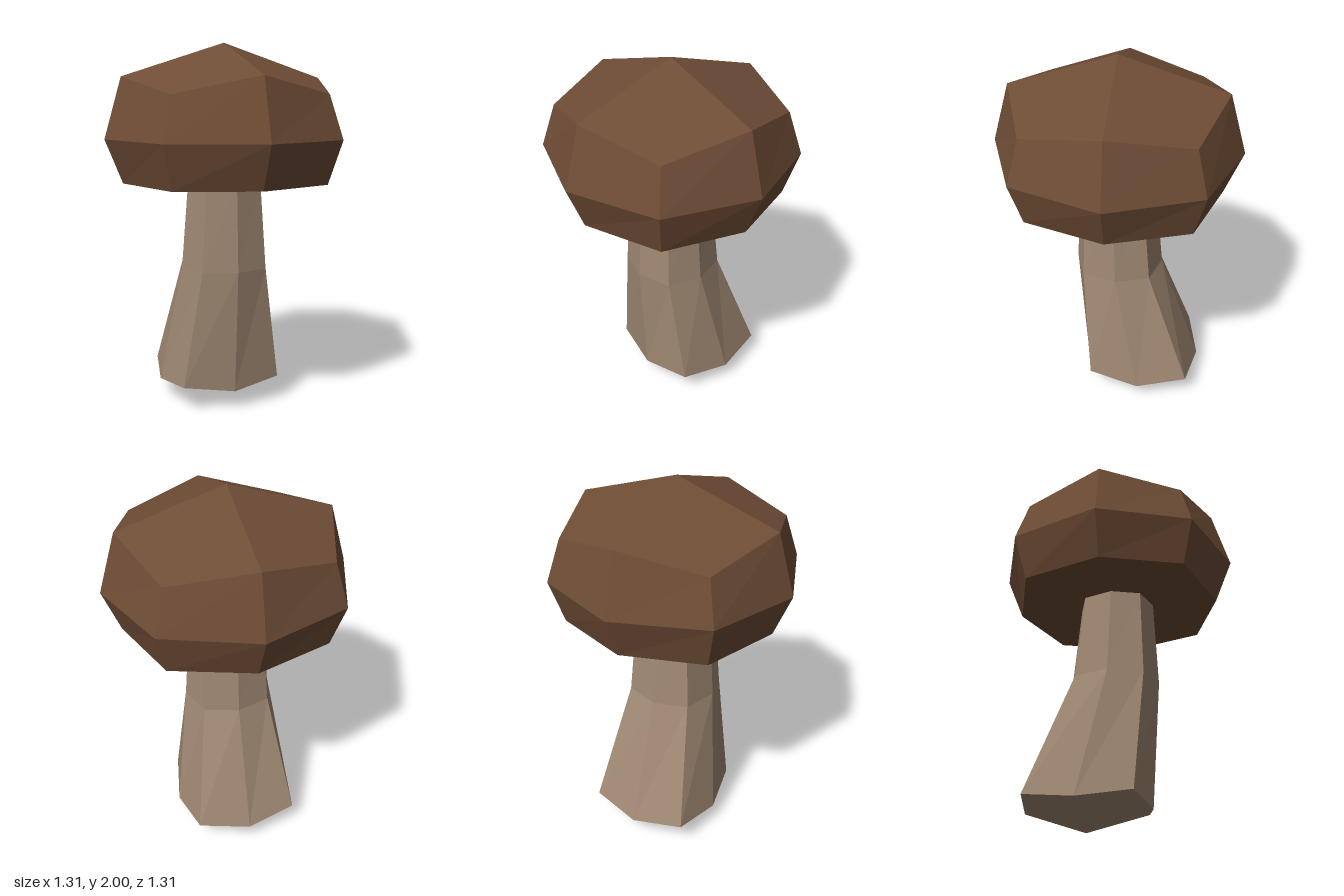
import * as THREE from 'three';

// Eight-point ring: "a" / "ya" are the reach and height of the axis points, "d" / "yd" of the diagonal ones
function ring(a, ya, d, yd, z = 0) {
  const points = [];
  for (let i = 0; i < 8; i++) {
    const t = (i * Math.PI) / 4;
    const diagonal = i % 2 === 1;
    const r = diagonal ? d * Math.SQRT2 : a;
    points.push(new THREE.Vector3(Math.sin(t) * r, diagonal ? yd : ya, z + Math.cos(t) * r));
  }
  return points;
}

// Skins rings from bottom to top and closes both ends to a centre point
function loft(name, rings, bottom, top, color) {
  const pos = [];
  const tri = (...corners) => corners.forEach((p) => pos.push(p.x, p.y, p.z));
  const last = rings[rings.length - 1];
  for (let i = 0; i < 8; i++) {
    const j = (i + 1) % 8;
    for (let k = 0; k < rings.length - 1; k++) {
      const lo = rings[k], hi = rings[k + 1];
      tri(lo[i], lo[j], hi[j]);
      tri(lo[i], hi[j], hi[i]);
    }
    tri(bottom, rings[0][j], rings[0][i]);
    tri(top, last[i], last[j]);
  }
  const geometry = new THREE.BufferGeometry();
  geometry.setAttribute('position', new THREE.Float32BufferAttribute(pos, 3));
  geometry.computeVertexNormals();
  const mesh = new THREE.Mesh(geometry, new THREE.MeshStandardMaterial({ color, flatShading: true }));
  mesh.name = name;
  return mesh;
}

export function createModel() {
  const group = new THREE.Group();
  group.name = 'mushroom';

  // Faceted cap with a flat underside and a shallow peak
  group.add(loft('cap', [
    ring(0.562, 1.268, 0.42, 1.268),
    ring(0.655, 1.5, 0.475, 1.5),
    ring(0.562, 1.82, 0.42, 1.73),
  ], new THREE.Vector3(0, 1.268, 0), new THREE.Vector3(0, 2, 0), 0x6f4d36));

  // Bent stem that widens toward a pointed foot set back from the cap
  group.add(loft('stem', [
    ring(0.335, 0.108, 0.278, 0.143, -0.15),
    ring(0.24, 0.79, 0.182, 0.79, -0.012),
    ring(0.204, 1.28, 0.153, 1.28, 0),
  ], new THREE.Vector3(0, 0, -0.16), new THREE.Vector3(0, 1.28, 0), 0xa08973));

  return group;
}
